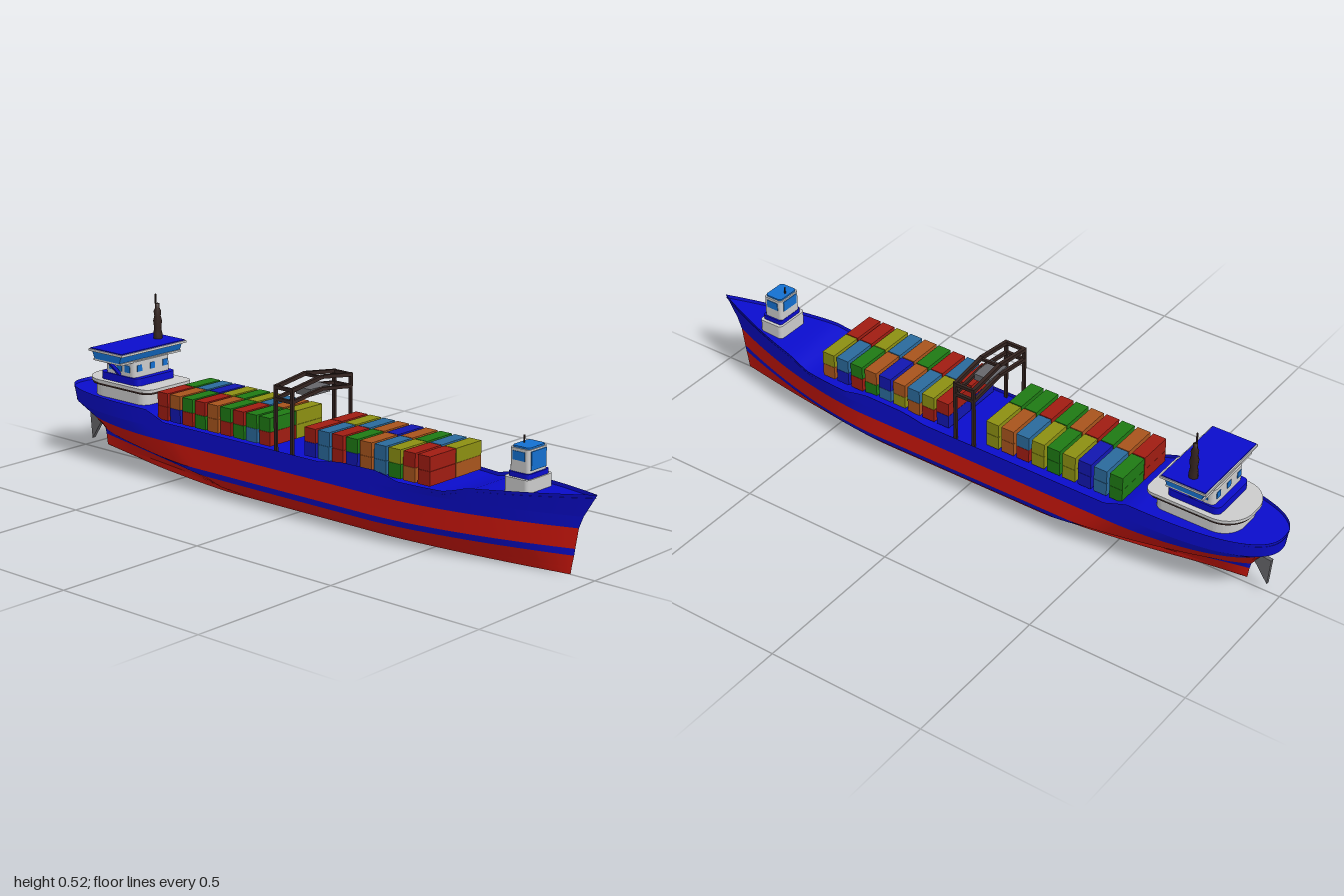
import * as THREE from 'three';

const mat = (color, side = THREE.FrontSide) => new THREE.MeshStandardMaterial({ color, side });
const BLUE = mat(0x0a0ccc), RED = mat(0xcc160c), WHITE = mat(0xcccccc), GLASS = mat(0x1470d0),
  DARK = mat(0x33231f), STEEL = mat(0x66666a);
const HULL_BLUE = mat(0x0a0ccc, THREE.DoubleSide), HULL_RED = mat(0xcc160c, THREE.DoubleSide);

function add(parent, name, geo, material, x = 0, y = 0, z = 0) {
  const m = new THREE.Mesh(geo, material);
  m.name = name;
  m.position.set(x, y, z);
  parent.add(m);
  return m;
}

// box given by its ranges
function block(parent, name, material, x0, x1, y0, y1, z0, z1) {
  return add(parent, name, new THREE.BoxGeometry(x1 - x0, y1 - y0, z1 - z0), material,
    (x0 + x1) / 2, (y0 + y1) / 2, (z0 + z1) / 2);
}

// horizontal slab with rounded corners; ra = aft radius, rf = forward radius
function slab(parent, name, material, x0, x1, y0, y1, half, ra, rf = ra) {
  const s = new THREE.Shape();
  s.moveTo(x0 + ra, -half);
  s.lineTo(x1 - rf, -half);
  s.absarc(x1 - rf, -half + rf, rf, -Math.PI / 2, 0);
  s.absarc(x1 - rf, half - rf, rf, 0, Math.PI / 2);
  s.absarc(x0 + ra, half - ra, ra, Math.PI / 2, Math.PI);
  s.absarc(x0 + ra, -half + ra, ra, Math.PI, Math.PI * 1.5);
  const g = new THREE.ExtrudeGeometry(s, { depth: y1 - y0, bevelEnabled: false, curveSegments: 6 });
  g.rotateX(-Math.PI / 2);
  return add(parent, name, g, material, 0, y0, 0);
}

// square beam between two points
function beam(parent, name, a, b, t, material = DARK) {
  const p = new THREE.Vector3(...a), q = new THREE.Vector3(...b);
  const m = add(parent, name, new THREE.BoxGeometry(t, t, p.distanceTo(q)), material);
  m.position.copy(p).lerp(q, 0.5);
  m.lookAt(q);
  return m;
}

// height of the hull's upper edge
const SHEER = [[-1, 0.22], [-0.57, 0.22], [-0.5, 0.193], [0.13, 0.193], [0.2, 0.207], [0.36, 0.209],
  [0.41, 0.192], [0.58, 0.192], [0.65, 0.213], [1, 0.24]];
function sheer(x) {
  for (let i = 1; i < SHEER.length; i++) {
    const [x0, y0] = SHEER[i - 1], [x1, y1] = SHEER[i];
    if (x <= x1) return THREE.MathUtils.mapLinear(x, x0, x1, y0, y1);
  }
  return 0.24;
}

// waterlines: height, stern x, bow x, half width, stern run, stern fullness, bow run, bow fullness
const LEVELS = [
  { y: 0, xs: -0.73, xb: 0.92, w: 0.072, ls: 0.45, q: 1.2, lb: 0.6, p: 1.5 },
  { y: 0.02, xs: -0.895, xb: 0.923, w: 0.098, ls: 0.6, q: 0.8, lb: 0.62, p: 1.5 },
  { y: 0.055, xs: -0.9, xb: 0.93, w: 0.131, ls: 0.55, q: 1, lb: 0.62, p: 1.6 },
  { y: 0.075, xs: -0.905, xb: 0.933, w: 0.138, ls: 0.5, q: 1.25, lb: 0.62, p: 1.7 },
  { y: 0.135, xs: -0.95, xb: 0.943, w: 0.138, ls: 0.42, q: 1.9, lb: 0.6, p: 1.75 },
  { y: 0.17, xs: -0.995, xb: 0.957, w: 0.138, ls: 0.4, q: 2.3, lb: 0.58, p: 1.8 },
  { y: sheer, xs: -1, xb: 1, w: 0.138, ls: 0.4, q: 2.5, lb: 0.6, p: 1.85 },
];
const N = 72;
function waterline(L, side, dy = 0, inset = 1) {
  const pts = [];
  for (let i = 0; i <= N; i++) {
    const x = THREE.MathUtils.lerp(L.xs, L.xb, (1 - Math.cos(Math.PI * i / N)) / 2);
    const ts = Math.min(1, (x - L.xs) / L.ls), tb = Math.min(1, (L.xb - x) / L.lb);
    const stern = Math.pow(Math.max(0, 1 - Math.pow(1 - ts, L.q)), 1 / L.q);
    const bow = 1 - Math.pow(1 - tb, L.p);
    const y = typeof L.y === 'function' ? L.y(x) : L.y;
    pts.push([x, y + dy, side * L.w * stern * bow * inset]);
  }
  return pts;
}

// surface between two waterlines
function strip(a, b, flip) {
  const index = [];
  for (let i = 0; i < N; i++) {
    const c = N + 1 + i;
    if (flip) index.push(i, c, i + 1, i + 1, c, c + 1);
    else index.push(i, i + 1, c, i + 1, c + 1, c);
  }
  const g = new THREE.BufferGeometry();
  g.setAttribute('position', new THREE.Float32BufferAttribute([...a, ...b].flat(), 3));
  g.setIndex(index);
  g.computeVertexNormals();
  return g;
}

function buildHull(parent) {
  const hull = new THREE.Group();
  hull.name = 'hull';
  parent.add(hull);
  const bands = ['lowerBottom', 'bilge', 'stripe', 'redSide', 'lowerBlueSide', 'upperBlueSide'];
  const mats = [HULL_RED, HULL_RED, HULL_BLUE, HULL_RED, HULL_BLUE, HULL_BLUE];
  bands.forEach((name, k) => {
    for (const side of [1, -1])
      add(hull, name, strip(waterline(LEVELS[k], side), waterline(LEVELS[k + 1], side), side < 0), mats[k]);
  });
  add(hull, 'bottom', strip(waterline(LEVELS[0], 1), waterline(LEVELS[0], -1), true), HULL_RED);
  const top = LEVELS[6];
  add(hull, 'deck', strip(waterline(top, 1, -0.01, 0.985), waterline(top, -1, -0.01, 0.985), false), HULL_BLUE);
  // rudder plate under the stern
  const r = new THREE.Shape([[-0.968, 0.117], [-0.96, 0.03], [-0.912, 0.1], [-0.905, 0.125]].map(p => new THREE.Vector2(...p)));
  add(hull, 'rudder', new THREE.ExtrudeGeometry(r, { depth: 0.012, bevelEnabled: false }), STEEL, 0, 0, -0.006);
}

function buildBridge(parent) {
  const g = new THREE.Group();
  g.name = 'bridgeHouse';
  parent.add(g);
  slab(g, 'houseBase', WHITE, -0.885, -0.63, 0.2, 0.247, 0.09, 0.07, 0.03);
  slab(g, 'railStrip', DARK, -0.9, -0.61, 0.247, 0.254, 0.097, 0.08, 0.03);
  slab(g, 'houseRim', WHITE, -0.905, -0.603, 0.254, 0.264, 0.1, 0.085, 0.03);
  slab(g, 'blueTier', BLUE, -0.835, -0.665, 0.264, 0.287, 0.083, 0.02);
  slab(g, 'tower', WHITE, -0.815, -0.685, 0.287, 0.337, 0.078, 0.015);
  // tower windows on all sides
  for (const s of [1, -1]) {
    for (const x of [-0.785, -0.75, -0.715])
      block(g, 'sideWindow', GLASS, x - 0.011, x + 0.011, 0.3, 0.322, s * 0.078 - 0.002, s * 0.078 + 0.002);
    for (const z of [-0.055, 0, 0.055])
      block(g, 'endWindow', GLASS, -0.752 + s * 0.065, -0.748 + s * 0.065, 0.305, 0.325, z - 0.01, z + 0.01);
    beam(g, 'wingBrace', [-0.75, 0.28, s * 0.07], [-0.75, 0.338, s * 0.122], 0.01, BLUE);
  }
  // wide wheelhouse, flared towards the roof
  block(g, 'wheelhouseFloor', WHITE, -0.81, -0.69, 0.334, 0.34, -0.13, 0.13);
  const wheel = new THREE.BoxGeometry(0.13, 0.025, 0.262), p = wheel.attributes.position;
  for (let i = 0; i < p.count; i++) if (p.getY(i) < 0) p.setX(i, p.getX(i) * 0.85);
  wheel.computeVertexNormals();
  add(g, 'wheelhouseWindows', wheel, GLASS, -0.75, 0.3525, 0);
  block(g, 'roofRim', WHITE, -0.824, -0.676, 0.363, 0.37, -0.141, 0.137);
  block(g, 'roof', BLUE, -0.82, -0.68, 0.368, 0.373, -0.138, 0.134);
  // stepped mast
  const prof = [[0.014, 0], [0.014, 0.02], [0.011, 0.035], [0.014, 0.06], [0.01, 0.075], [0.012, 0.09],
    [0.007, 0.1], [0.007, 0.115], [0, 0.115]].map(q => new THREE.Vector2(...q));
  add(g, 'mast', new THREE.LatheGeometry(prof, 8), DARK, -0.755, 0.37, -0.094);
  block(g, 'mastTip', DARK, -0.757, -0.753, 0.485, 0.516, -0.089, -0.085);
}

function buildBowHouse(parent) {
  const g = new THREE.Group();
  g.name = 'bowHouse';
  parent.add(g);
  slab(g, 'bowBase', WHITE, 0.73, 0.812, 0.205, 0.253, 0.058, 0.012);
  slab(g, 'bowBand', BLUE, 0.737, 0.808, 0.253, 0.267, 0.048, 0.01);
  slab(g, 'bowTower', WHITE, 0.738, 0.803, 0.267, 0.333, 0.043, 0.01);
  slab(g, 'bowRoof', GLASS, 0.742, 0.8, 0.333, 0.338, 0.038, 0.01);
  block(g, 'bowFrontWindow', GLASS, 0.8, 0.806, 0.275, 0.328, -0.033, 0.033);
  block(g, 'bowBackWindow', GLASS, 0.736, 0.74, 0.295, 0.328, -0.03, 0.03);
  for (const s of [1, -1])
    block(g, 'bowSideWindow', GLASS, 0.75, 0.79, 0.3, 0.325, s * 0.043 - 0.002, s * 0.043 + 0.002);
  block(g, 'bowPole', DARK, 0.753, 0.756, 0.338, 0.36, -0.002, 0.002);
}

function buildGantry(parent) {
  const g = new THREE.Group();
  g.name = 'gantryCrane';
  parent.add(g);
  const X = [-0.044, 0.02], Z = 0.127;
  for (const x of X) {
    for (const s of [1, -1]) {
      block(g, 'gantryLeg', DARK, x - 0.005, x + 0.005, 0.182, 0.386, s * Z - 0.004, s * Z + 0.004);
      beam(g, 'topBeam', [x, 0.38, s * Z], [x, 0.397, 0], 0.011);
      beam(g, 'lowBeam', [x, 0.345, s * Z], [x, 0.361, 0], 0.01);
    }
  }
  for (const s of [1, -1])
    for (const y of [0.38, 0.345])
      beam(g, 'sideTie', [X[0], y, s * Z], [X[1], y, s * Z], 0.01);
  beam(g, 'ridgeTie', [X[0], 0.394, 0], [X[1], 0.394, 0], 0.008);
  block(g, 'trolley', STEEL, -0.04, 0.016, 0.345, 0.366, -0.04, 0.045);
}

// two blocks of stacked containers, a colour letter for each box
function buildContainers(parent) {
  const g = new THREE.Group();
  g.name = 'containers';
  parent.add(g);
  const colours = { r: mat(0xa01c12), g: mat(0x1e7a14), y: mat(0x8c8f12), s: mat(0x2a6a9c), o: mat(0xa8541c), n: mat(0x1216b0) };
  const geo = new THREE.BoxGeometry(0.043, 0.042, 0.112);
  const stacks = [
    { x: -0.52, back: ['gsnygyroy', 'gsnygysoy'], front: ['rbrgorgsr'.replace('b', 'n'), 'rogrogrgg'] },
    { x: 0.08, back: ['nroysgrno', 'rysonogsy'], front: ['nsrnosgor', 'rsrgosyrr'] },
  ];
  for (const st of stacks)
    for (const [rows, z] of [[st.back, -0.053], [st.front, 0.062]])
      rows.forEach((row, level) => [...row].forEach((c, i) =>
        add(g, 'container', geo, colours[c], st.x + i * 0.0528, 0.214 + level * 0.0428, z)));
}

export function createModel() {
  const ship = new THREE.Group();
  ship.name = 'containerShip';
  buildHull(ship);
  buildBridge(ship);
  buildBowHouse(ship);
  buildGantry(ship);
  buildContainers(ship);
  return ship;
}
